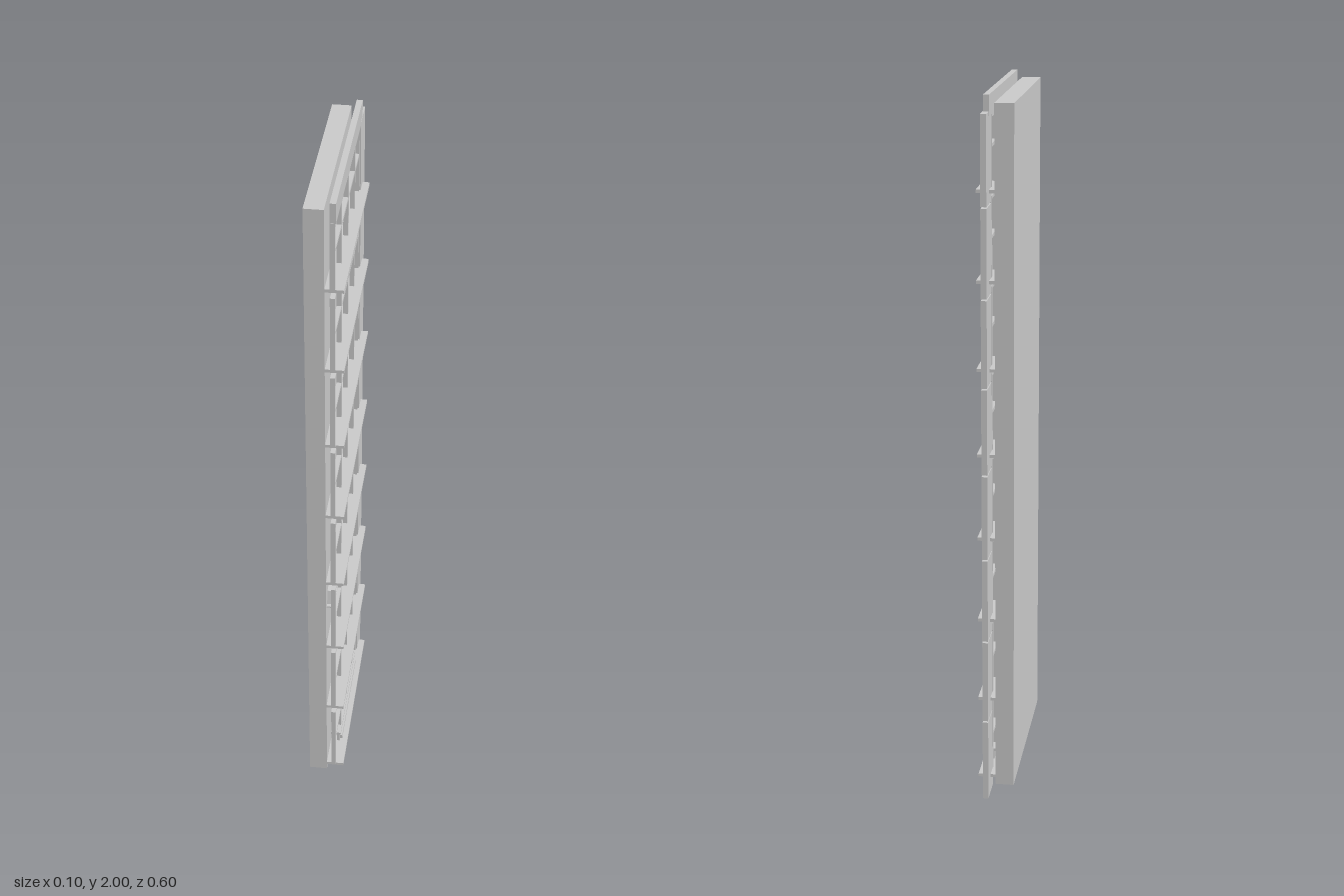
import * as THREE from 'three';

const material = new THREE.MeshStandardMaterial({ color: 0xcccccc, flatShading: true });

// Box given by its limits on each axis
function block(parent, name, [x0, x1], [y0, y1], [z0, z1]) {
  const mesh = new THREE.Mesh(new THREE.BoxGeometry(x1 - x0, y1 - y0, z1 - z0), material);
  mesh.position.set((x0 + x1) / 2, (y0 + y1) / 2, (z0 + z1) / 2);
  mesh.name = name;
  parent.add(mesh);
  return mesh;
}

// Small flat trapezoid fixture standing on a thin shelf, facing +x
function windowFixture(z, y) {
  const group = new THREE.Group();
  group.name = 'windowFixture';
  const shape = new THREE.Shape([
    new THREE.Vector2(-0.037, 0), new THREE.Vector2(0.037, 0),
    new THREE.Vector2(0.022, 0.05), new THREE.Vector2(-0.028, 0.042),
  ]);
  const geometry = new THREE.ExtrudeGeometry(shape, { depth: 0.012, bevelEnabled: false });
  geometry.rotateY(Math.PI / 2);
  const plate = new THREE.Mesh(geometry, material);
  plate.name = 'fixturePlate';
  group.add(plate);
  block(group, 'fixtureShelf', [0, 0.02], [-0.004, 0], [-0.048, 0.048]);
  group.position.set(0, y, z);
  return group;
}

export function createModel() {
  const model = new THREE.Group();
  model.name = 'curtainWallFacade';

  const floors = 8;
  const pitch = 0.2422;
  const frame = [0.014, 0.027];

  // Solid wall behind the facade and the cap along its top
  block(model, 'wallSlab', [-0.052, 0], [0.03, 1.98], [-0.255, 0.295]);
  block(model, 'topBand', [0.014, 0.03], [1.945, 2], [-0.25, 0.297]);

  for (let i = 0; i < floors; i++) {
    const floor = new THREE.Group();
    floor.name = 'floor' + (i + 1);
    const base = 0.055 + i * pitch;
    const top = i === floors - 1 ? 1.945 : base + 0.222;

    // Projecting ledge
    block(floor, 'ledge', [0, 0.05], [base - 0.005, base + 0.004], [-0.253, 0.295]);

    // Window frame: mullions, head and middle rail
    for (const z of [0.293, 0.163, 0.026, -0.112, -0.206]) {
      block(floor, 'mullion', frame, [base, top], [z - 0.005, z + 0.005]);
    }
    block(floor, 'headRail', frame, [top - 0.008, top], [-0.208, 0.297]);
    block(floor, 'middleRail', frame, [base + 0.108, base + 0.117], [-0.208, 0.297]);

    // Corner pier panel
    const pier = 0.004 + i * 0.2447;
    block(floor, 'pierPanel', [0.015, 0.031], [pier, pier + 0.24], [-0.297, -0.209]);
    model.add(floor);
  }

  // Fixtures in two of the windows
  model.add(windowFixture(0.235, 0.684), windowFixture(-0.047, 0.09));

  // Entrance sign board with its ribs and bracket
  const sign = new THREE.Group();
  sign.name = 'entranceSign';
  block(sign, 'signBoard', [0.018, 0.027], [0.01, 0.09], [-0.158, 0.202]);
  block(sign, 'signRib', [0.027, 0.034], [0.062, 0.074], [-0.15, 0.194]);
  block(sign, 'signBracket', [0, 0.03], [0.084, 0.092], [-0.158, 0.202]);
  model.add(sign);

  return model;
}
